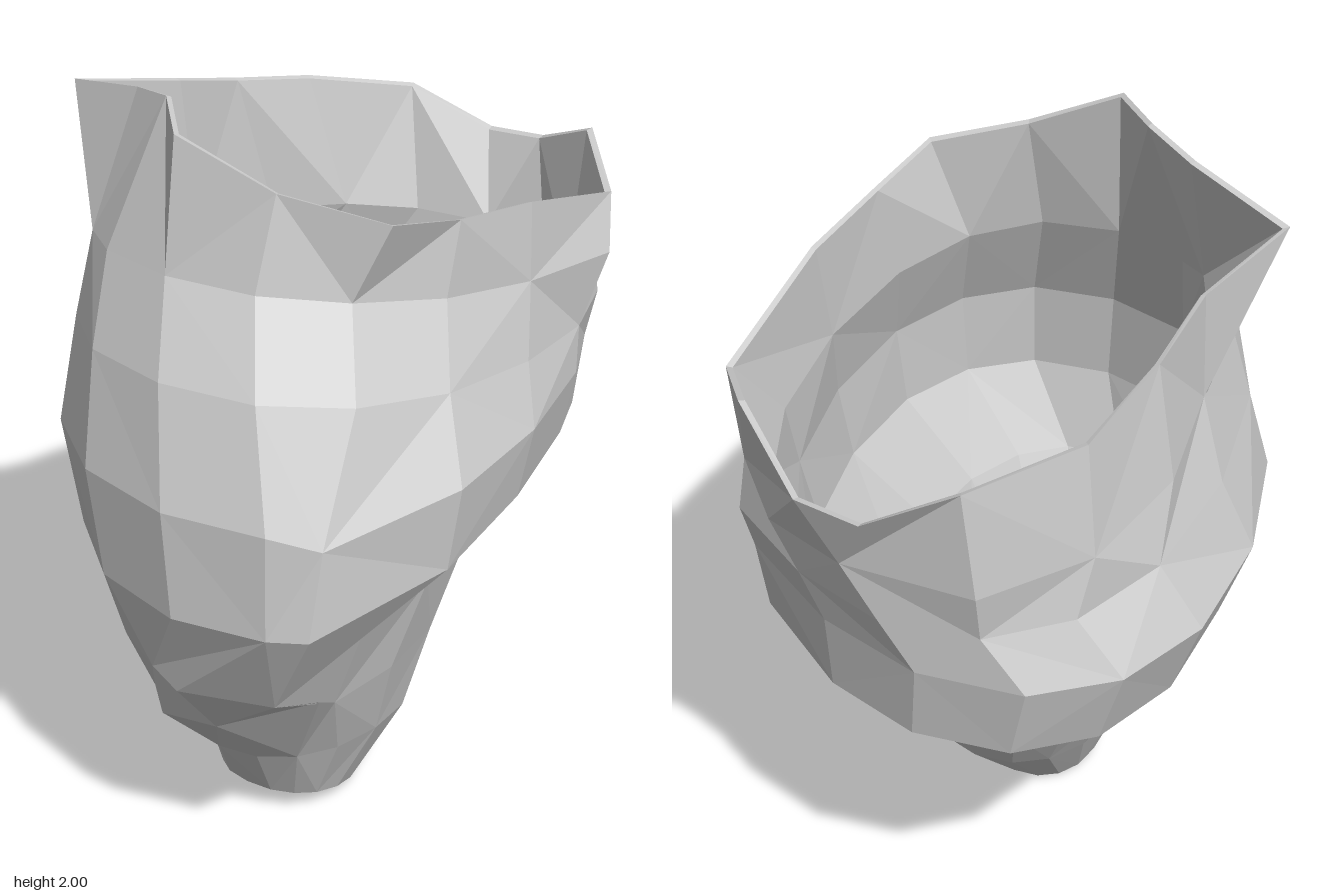
import * as THREE from 'three';

const N = 16;
const stone = new THREE.MeshStandardMaterial({ color: 0xcccccc });
stone.name = 'stone grey';

// Uneven oval section: extents, tilt along z and sideways shear.
function section(y, x0, x1, z0, z1, tilt, shear) {
  const cx = (x0 + x1) / 2, cz = (z0 + z1) / 2, hx = (x1 - x0) / 2, hz = (z1 - z0) / 2;
  const a = Math.sqrt(Math.max(hx * hx - (shear * hz) ** 2, 0.001));
  const soft = (v) => Math.sign(v) * Math.abs(v) ** 0.9;
  return Array.from({ length: N }, (_, i) => {
    const t = (i / N) * Math.PI * 2;
    const dz = hz * soft(Math.sin(t));
    return new THREE.Vector3(cx + a * soft(Math.cos(t)) + shear * dz, y + tilt * dz, cz + dz);
  });
}

function flat(pos) {
  const g = new THREE.BufferGeometry();
  g.setAttribute('position', new THREE.Float32BufferAttribute(pos, 3));
  g.computeVertexNormals();
  return g;
}

// Faceted skin between sections, closed at the first one.
function skin(rings, inward) {
  const pos = [];
  const tri = (a, b, c) => (inward ? [a, c, b] : [a, b, c]).forEach((p) => pos.push(p.x, p.y, p.z));
  for (let r = 0; r < rings.length - 1; r++) {
    for (let i = 0; i < N; i++) {
      const j = (i + 1) % N;
      const [a, b, c, d] = [rings[r][i], rings[r][j], rings[r + 1][j], rings[r + 1][i]];
      if ((i + r) % 2) { tri(a, d, c); tri(a, c, b); } else { tri(a, d, b); tri(b, d, c); }
    }
  }
  const mid = rings[0].reduce((s, p) => s.add(p), new THREE.Vector3()).divideScalar(N);
  for (let i = 0; i < N; i++) tri(mid, rings[0][i], rings[0][(i + 1) % N]);
  return flat(pos);
}

// Ragged rim, from the left side round past the front.
const rim = [
  [0.55, 1.72, -0.1], [0.55, 1.76, 0.2], [0.53, 1.81, 0.44], [0.29, 1.87, 0.57],
  [0.04, 1.98, 0.64], [-0.13, 2.0, 0.48], [-0.3, 1.97, 0.4], [-0.61, 1.91, 0.31],
  [-0.54, 1.85, 0.0], [-0.55, 1.79, -0.25], [-0.53, 1.73, -0.55], [-0.35, 1.68, -0.81],
  [-0.13, 1.57, -0.9], [0.05, 1.58, -0.9], [0.3, 1.69, -0.76], [0.5, 1.61, -0.55],
].map((p) => new THREE.Vector3(...p));

export function createModel() {
  const group = new THREE.Group();
  group.name = 'crumpledVessel';
  const add = (name, geometry) => {
    const m = new THREE.Mesh(geometry, stone);
    m.name = name;
    group.add(m);
  };

  // Outer wall, foot to rim
  const outer = [
    section(0.04, -0.13, 0.22, 0.08, 0.43, 0.2, 0),
    section(0.24, -0.22, 0.31, -0.14, 0.54, 0.02, 0),
    section(0.47, -0.35, 0.38, -0.3, 0.75, -0.03, 0.05),
    section(0.66, -0.46, 0.45, -0.54, 0.84, 0, 0.15),
    section(0.88, -0.63, 0.68, -0.78, 0.905, -0.01, 0.24),
    section(1.13, -0.72, 0.71, -0.81, 0.9, 0.02, 0.24),
    section(1.34, -0.63, 0.63, -0.83, 0.81, 0.11, 0.15),
    section(1.52, -0.56, 0.57, -0.85, 0.69, 0.16, 0.05),
    rim,
  ];
  // Belly crease rises along the left side, the wall below slopes under it
  for (const [i, lift] of [[0, 0.12], [1, 0.08], [14, 0.06], [15, 0.13]]) {
    outer[4][i].y += lift;
    outer[3][i].y += lift * 0.5;
    outer[5][i].y += lift * 0.5;
  }
  // Fuller back left corner
  for (const r of [4, 5, 6]) {
    outer[r][14].x += 0.05;
    outer[r][14].z -= 0.04;
    outer[r][15].x += 0.02;
  }
  // Leaner front right corner near the foot
  for (const [r, d] of [[1, 0.03], [2, 0.05], [3, 0.03]]) {
    for (const i of [5, 6, 7]) {
      outer[r][i].x += d;
      outer[r][i].z -= d;
    }
  }
  // Flat front corner at the belly
  outer[4][2].set(0.57, 0.88, 0.8);
  outer[5][2].set(0.58, 1.11, 0.76);
  // Undercut below the front left
  outer[3][2].set(0.42, 0.62, 0.75);
  outer[3][3].set(0.16, 0.6, 0.82);
  outer[2][2].set(0.39, 0.52, 0.54);
  // Fold under the front corner of the rim
  outer[7][6].set(-0.33, 1.63, 0.55);
  outer[7][7].set(-0.46, 1.6, 0.32);
  outer[7][8].set(-0.54, 1.55, 0.02);
  // Upright wall under the back right of the rim
  outer[7][9].set(-0.6, 1.48, -0.25);
  outer[7][10].set(-0.56, 1.43, -0.56);
  outer[7][11].set(-0.38, 1.39, -0.8);
  // Fold under the back corner of the rim
  outer[7][15].set(0.56, 1.48, -0.46);
  add('outerWall', skin(outer, false));

  // Hollow, floor to rim: follows the outer wall, dropping steeply at the back
  const lip = rim.map((p) => new THREE.Vector3(p.x * 0.975, p.y - 0.005, (p.z + 0.1) * 0.975 - 0.1));
  const inner = [
    section(0.28, -0.11, 0.24, 0.1, 0.46, 0.05, 0),
    section(0.48, -0.22, 0.32, -0.06, 0.66, 0, 0.05),
    section(0.72, -0.38, 0.41, -0.4, 0.78, 0, 0.13),
    section(0.97, -0.57, 0.59, -0.68, 0.82, 0, 0.2),
    section(1.2, -0.6, 0.6, -0.74, 0.8, 0.05, 0.18),
    section(1.43, -0.52, 0.54, -0.78, 0.69, 0.14, 0.08),
    lip,
  ];
  inner[5][6].set(-0.3, 1.6, 0.48);
  inner[5][7].set(-0.42, 1.58, 0.28);
  // Ridge pushed in from the back right
  inner[2][10].set(-0.12, 0.84, -0.3);
  inner[3][10].set(-0.4, 1.02, -0.5);
  add('innerWall', skin(inner, true));

  // Thin edge joining both walls
  const edge = [];
  for (let i = 0; i < N; i++) {
    const j = (i + 1) % N;
    for (const p of [rim[i], lip[i], rim[j], rim[j], lip[i], lip[j]]) edge.push(p.x, p.y, p.z);
  }
  add('rimEdge', flat(edge));
  return group;
}
